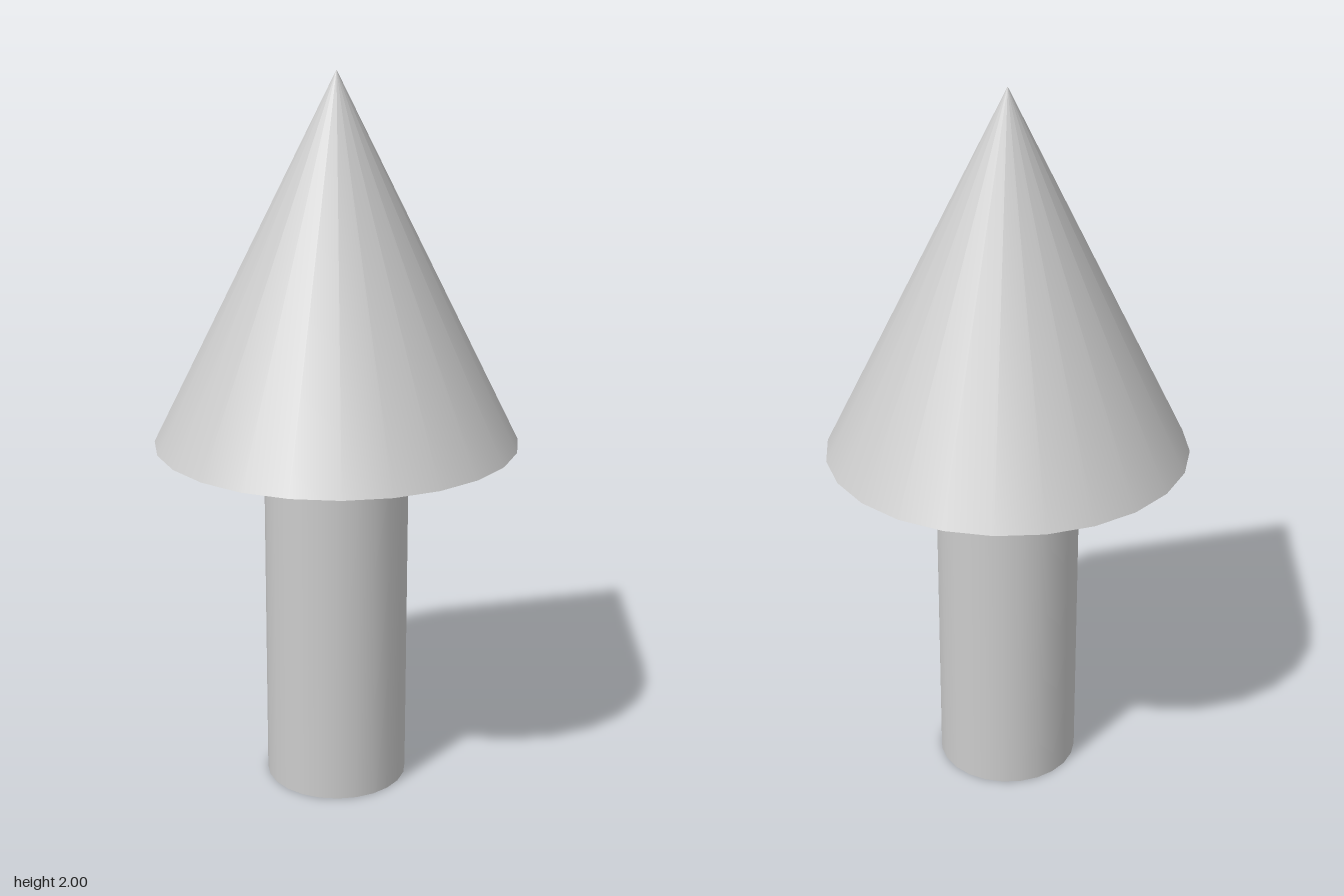
import * as THREE from 'three';

const SIDES = 24;

export function createModel() {
  const model = new THREE.Group();
  model.name = 'arrow';
  const material = new THREE.MeshStandardMaterial({ color: 0xcccccc });

  const addPart = (name, geometry, y) => {
    const mesh = new THREE.Mesh(geometry, material);
    mesh.name = name;
    mesh.position.y = y;
    model.add(mesh);
  };

  // Straight round shaft standing on the ground
  addPart('shaft', new THREE.CylinderGeometry(0.2, 0.2, 1, SIDES), 0.5);

  // Wide cone with a closed base on top of the shaft
  addPart('head', new THREE.ConeGeometry(0.5, 1, SIDES), 1.5);

  return model;
}
